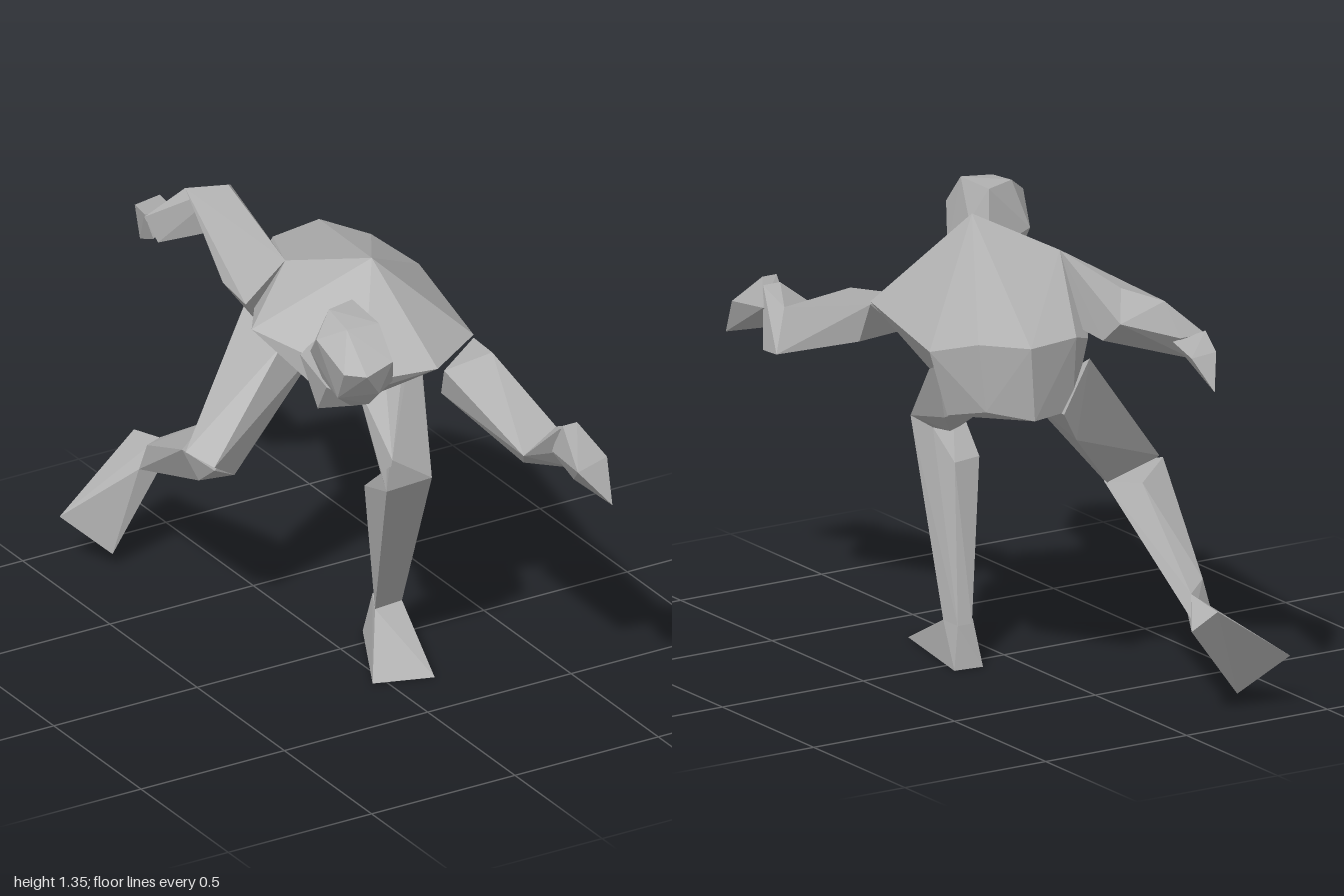
import * as THREE from 'three';
import { ConvexGeometry } from 'three/addons/geometries/ConvexGeometry.js';

const clay = new THREE.MeshStandardMaterial({ color: 0xb0b0b0 });
clay.name = 'grey clay';

// One faceted body part: the hull around a few corner points
function part(group, name, points) {
  const mesh = new THREE.Mesh(new ConvexGeometry(points.map((p) => new THREE.Vector3(...p))), clay);
  mesh.name = name;
  group.add(mesh);
}

// A limb is a chain of joints; each segment spans two neighbouring joints
function limb(group, name, segmentNames, joints) {
  const g = new THREE.Group();
  g.name = name;
  segmentNames.forEach((s, i) => part(g, s, [...joints[i], ...joints[i + 1]]));
  group.add(g);
}

export function createModel() {
  const figure = new THREE.Group();
  figure.name = 'crouchingRunner';

  // Torso: bent-over back and chest, then the pelvis
  part(figure, 'torso', [
    [0.03, 1.345, 0.13], [0.3, 1.08, 0.27], [0.12, 1.05, 0.36], [-0.08, 1.02, 0.27],
    [-0.31, 1.14, 0], [-0.15, 0.94, 0.2], [0.04, 0.87, 0.1], [0.2, 0.93, 0.15],
    [-0.13, 0.94, 0.05], [0.42, 1.07, -0.24], [0.35, 0.93, -0.26], [0.35, 1.12, -0.4],
    [0.26, 1.13, -0.55], [0.08, 1.13, -0.52], [0, 1.1, -0.46], [0, 0.93, -0.3], [-0.12, 1.27, -0.12],
  ]);
  part(figure, 'pelvis', [
    [0.42, 1.07, -0.24], [0.37, 0.87, -0.26], [0.35, 1.12, -0.4], [0.33, 0.91, -0.41],
    [0.26, 1.13, -0.55], [0.24, 0.9, -0.54], [0.08, 1.13, -0.52], [0.08, 0.9, -0.5],
    [0, 1.1, -0.46], [0, 0.92, -0.3],
  ]);

  // Head and neck
  part(figure, 'head', [
    [-0.26, 1.345, 0.36], [-0.16, 1.34, 0.33], [-0.27, 1.33, 0.48], [-0.17, 1.335, 0.5],
    [-0.34, 1.29, 0.42], [-0.11, 1.24, 0.36], [-0.31, 1.21, 0.53], [-0.17, 1.24, 0.58],
    [-0.26, 1.21, 0.58], [-0.29, 1.1, 0.46], [-0.2, 1.13, 0.55], [-0.2, 1.07, 0.49],
    [-0.11, 1.12, 0.48], [-0.09, 1.11, 0.37], [-0.23, 1.05, 0.44], [-0.14, 1.06, 0.41],
    [-0.3, 1.2, 0.32], [-0.27, 1.11, 0.34], [-0.14, 1.15, 0.3],
  ]);
  part(figure, 'neck', [
    [-0.28, 1.1, 0.38], [-0.09, 1.12, 0.36], [-0.2, 1.05, 0.45], [-0.25, 0.98, 0.28],
    [-0.15, 0.94, 0.22], [-0.05, 1.03, 0.25], [-0.15, 1.15, 0.15], [-0.21, 1.08, 0.11],
  ]);

  // Left arm reaches forward
  limb(figure, 'leftArm', ['arm', 'wrist'], [
    [[0.13, 1.05, 0.38], [0.28, 1.085, 0.41], [0.3, 1.07, 0.27], [0.3, 0.94, 0.33], [0.15, 0.95, 0.33]],
    [[0.17, 0.92, 0.77], [0.32, 0.955, 0.71], [0.38, 0.83, 0.66], [0.37, 0.82, 0.75], [0.2, 0.87, 0.72]],
    [[0.27, 1, 0.81], [0.33, 1, 0.81], [0.3, 0.91, 0.79]],
  ]);
  part(figure, 'leftHand', [
    [0.27, 1.02, 0.83], [0.32, 1.02, 0.83], [0.26, 0.92, 0.78], [0.35, 0.94, 0.78],
    [0.25, 0.92, 0.95], [0.37, 0.93, 0.92], [0.29, 0.85, 0.86], [0.34, 0.81, 1],
  ]);

  // Right arm swings back, with the forearm folded across
  limb(figure, 'rightArm', ['upperArm', 'forearm'], [
    [[-0.12, 1.27, -0.12], [-0.27, 1.17, -0.1], [-0.24, 1.16, -0.28], [-0.2, 1.08, -0.17], [-0.05, 1.1, -0.22]],
    [[-0.02, 1.29, -0.61], [-0.11, 1.26, -0.71], [0.05, 1.14, -0.62], [0.06, 1.22, -0.73], [-0.05, 1.12, -0.66]],
    [[-0.21, 1.16, -0.78], [-0.18, 1.08, -0.75], [-0.12, 1.16, -0.78]],
  ]);
  part(figure, 'rightHand', [
    [-0.21, 1.17, -0.78], [-0.19, 1.09, -0.76], [-0.1, 1.15, -0.77], [-0.17, 1.14, -0.9],
    [-0.07, 1.14, -0.92], [-0.17, 1.04, -0.87], [-0.1, 1.05, -1],
  ]);

  // Left leg steps forward and bears the weight
  const leftKnee = [[-0.02, 0.77, 0.33], [-0.04, 0.67, 0.33], [0.115, 0.68, 0.335], [0.11, 0.67, 0.22], [0.01, 0.66, 0.22]];
  part(figure, 'leftThigh', [
    ...leftKnee, [0.04, 0.89, 0.02], [0.14, 0.86, -0.18], [0.2, 1, -0.1], [0.33, 0.98, -0.11],
    [0.4, 1.06, -0.24], [0.38, 0.865, -0.26], [0.27, 0.77, -0.12],
  ]);
  part(figure, 'leftShin', [
    [-0.03, 0.75, 0.33], ...leftKnee.slice(1), [0.01, 0.59, 0.12],
    [0.11, 0.59, 0.1], [0.09, 0.13, 0.05], [0.19, 0.13, 0.04], [0.14, 0.13, -0.04], [0.19, 0.13, -0.04],
  ]);
  part(figure, 'leftFoot', [
    [0.09, 0.13, 0.05], [0.19, 0.13, 0.04], [0.13, 0.14, -0.03], [0.19, 0.13, -0.04],
    [-0.04, 0, 0.25], [0.14, 0, 0.31], [0.215, 0, -0.06], [0.12, 0, -0.07],
  ]);

  // Right leg trails with a bent knee
  part(figure, 'rightThigh', [
    [-0.06, 0.92, -0.24], [0.08, 0.88, -0.25], [0.13, 0.9, -0.53], [0.02, 1.05, -0.5], [0.06, 0.8, -0.49],
    [-0.37, 0.63, -0.28], [-0.33, 0.61, -0.18], [-0.23, 0.54, -0.23], [-0.16, 0.59, -0.32],
  ]);
  part(figure, 'rightShin', [
    [-0.37, 0.63, -0.3], [-0.33, 0.6, -0.18], [-0.33, 0.53, -0.27], [-0.23, 0.54, -0.23],
    [-0.16, 0.59, -0.3], [-0.2, 0.615, -0.45], [-0.21, 0.31, -0.81], [-0.13, 0.32, -0.81],
    [-0.12, 0.38, -0.84], [-0.2, 0.4, -0.78], [-0.09, 0.31, -0.9],
  ]);
  part(figure, 'rightFoot', [
    [-0.21, 0.31, -0.81], [-0.13, 0.32, -0.8], [-0.12, 0.38, -0.84], [-0.07, 0.29, -0.92],
    [-0.13, 0.355, -0.97], [-0.29, 0.04, -0.83], [-0.42, 0.16, -0.92],
  ]);

  return figure;
}
